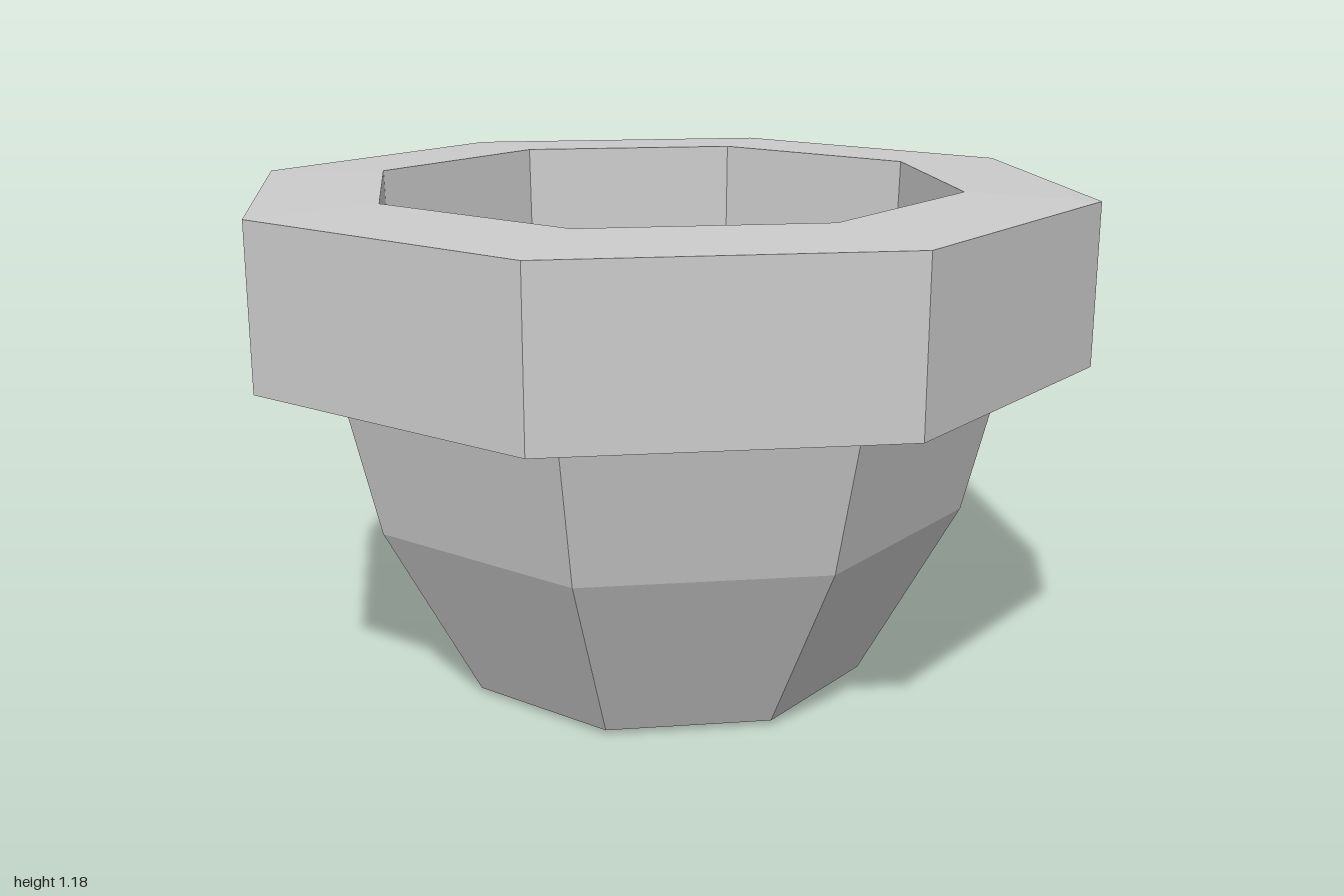
import * as THREE from 'three';

const SIDES = 8;

// Eight-sided, flat-shaded ring from a profile of [radius, height] points
function facetedPart(name, profile) {
  const points = profile.map(([r, y]) => new THREE.Vector2(r, y));
  const material = new THREE.MeshStandardMaterial({ color: 0xcccccc, flatShading: true });
  const mesh = new THREE.Mesh(new THREE.LatheGeometry(points, SIDES), material);
  mesh.name = name;
  return mesh;
}

export function createModel() {
  const pot = new THREE.Group();
  pot.name = 'pot';

  // Tapered body with a slightly bulging base
  pot.add(facetedPart('body', [[0, 0], [0.495, 0.012], [0.725, 0.44], [0.81, 0.79]]));

  // Thick collar: underside, outer wall, top and inner wall
  pot.add(facetedPart('rim', [[0.81, 0.79], [1, 0.8], [1, 1.174], [0.7, 1.184], [0.69, 0.845]]));

  // Recessed floor inside the rim
  pot.add(facetedPart('innerFloor', [[0.69, 0.845], [0, 0.845]]));

  return pot;
}
